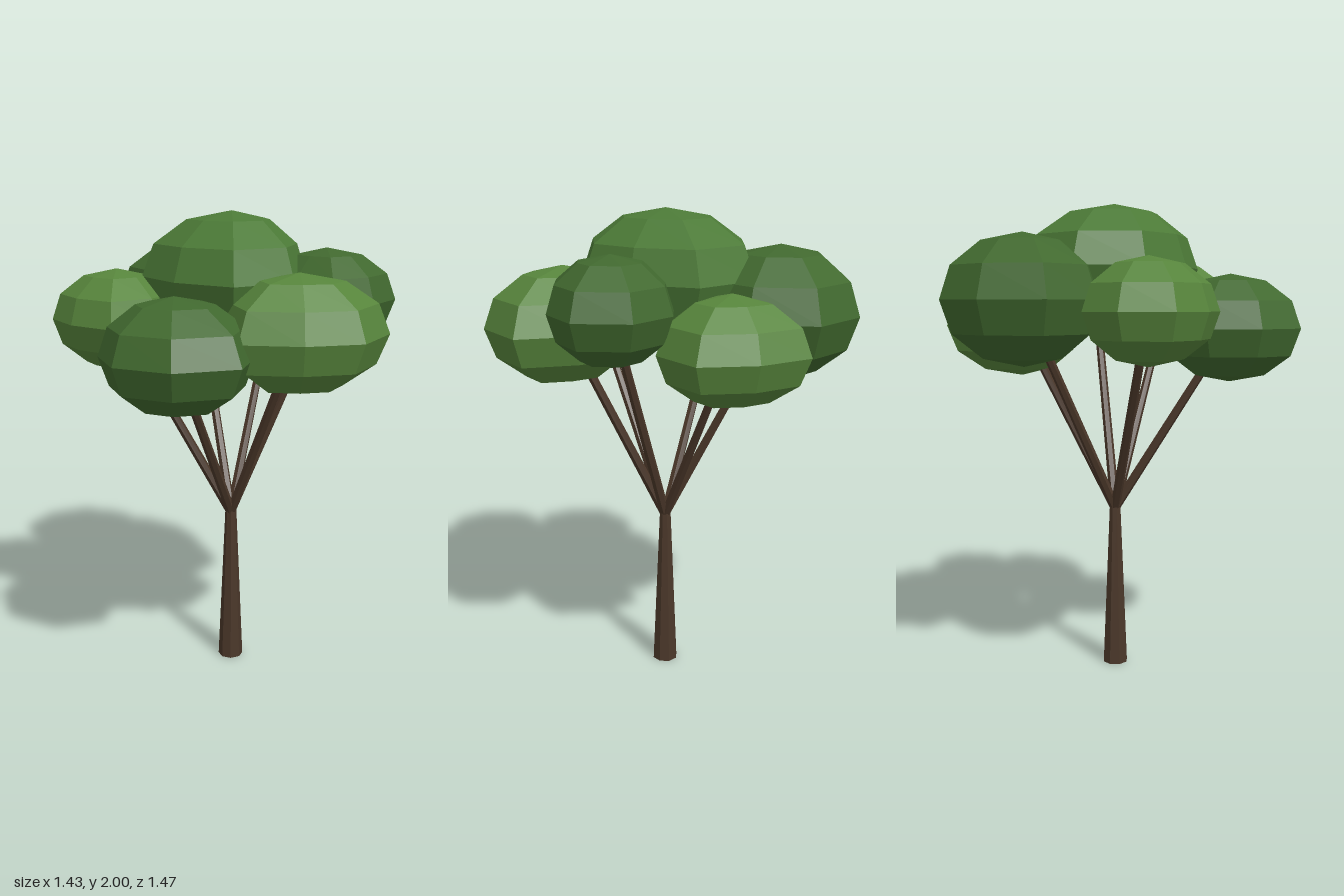
import * as THREE from 'three';

const bark = new THREE.MeshStandardMaterial({ color: 0x4a3729, flatShading: true });
const leaf = (color) => new THREE.MeshStandardMaterial({ color, flatShading: true });
const light = leaf(0x57853c), mid = leaf(0x4c7a37), dark = leaf(0x41692f);

// Each clump: centre, half height, and eight radii going round from +x towards +z
const clumps = [
  { name: 'crownTop', at: [0.055, 1.735, 0], h: 0.265, mat: mid, r: [0.39, 0.31, 0.34, 0.385, 0.325, 0.37, 0.38, 0.39] },
  { name: 'clumpRightSide', at: [-0.41, 1.485, 0.15], h: 0.225, mat: dark, r: [0.29, 0.31, 0.35, 0.32, 0.305, 0.29, 0.28, 0.31] },
  { name: 'clumpFront', at: [0, 1.55, 0.41], h: 0.235, mat: light, r: [0.27, 0.355, 0.32, 0.275, 0.34, 0.3, 0.3, 0.3] },
  { name: 'clumpFrontLeft', at: [0.3, 1.645, 0.3], h: 0.21, mat: dark, r: [0.29, 0.29, 0.245, 0.27, 0.21, 0.27, 0.25, 0.26] },
  { name: 'clumpLeftSide', at: [0.44, 1.495, -0.13], h: 0.215, mat: light, r: [0.275, 0.32, 0.3, 0.27, 0.22, 0.27, 0.23, 0.32] },
  { name: 'clumpBackLeft', at: [0.26, 1.6, -0.41], h: 0.265, mat: dark, r: [0.36, 0.34, 0.34, 0.33, 0.33, 0.36, 0.325, 0.33] },
  { name: 'clumpBackRight', at: [-0.26, 1.555, -0.36], h: 0.21, mat: light, r: [0.25, 0.28, 0.25, 0.3, 0.245, 0.275, 0.27, 0.265] },
];

// Low-poly sphere whose eight columns are pushed out to their own radii
function clumpGeometry(h, r) {
  const geo = new THREE.SphereGeometry(1, 8, 6);
  const p = geo.attributes.position;
  for (let i = 0; i < p.count; i++) {
    const x = p.getX(i), z = p.getZ(i);
    const column = (Math.round(Math.atan2(z, x) / (Math.PI / 4)) + 8) % 8;
    p.setXYZ(i, x * r[column], p.getY(i) * h, z * r[column]);
  }
  geo.computeVertexNormals();
  return geo;
}

// Tapered round limb between two points
function limb(name, from, to, r0, r1, sides) {
  const dir = to.clone().sub(from);
  const mesh = new THREE.Mesh(new THREE.CylinderGeometry(r1, r0, dir.length(), sides), bark);
  mesh.name = name;
  mesh.position.copy(from).addScaledVector(dir, 0.5);
  mesh.quaternion.setFromUnitVectors(new THREE.Vector3(0, 1, 0), dir.normalize());
  return mesh;
}

export function createModel() {
  const tree = new THREE.Group();
  tree.name = 'tree';

  // Trunk
  const base = new THREE.Vector3(0.055, 0, 0);
  const fork = new THREE.Vector3(0.055, 0.72, 0);
  tree.add(limb('trunk', base, fork, 0.055, 0.024, 8));

  // Foliage, with a branch running to every clump but the top one
  clumps.forEach(({ name, at, h, mat, r }, i) => {
    const centre = new THREE.Vector3(...at);
    const clump = new THREE.Mesh(clumpGeometry(h, r), mat);
    clump.name = name;
    clump.position.copy(centre);
    tree.add(clump);
    if (i > 0) tree.add(limb('branch' + i, fork.clone().setY(0.7), centre, 0.021, 0.017, 6));
  });

  return tree;
}
